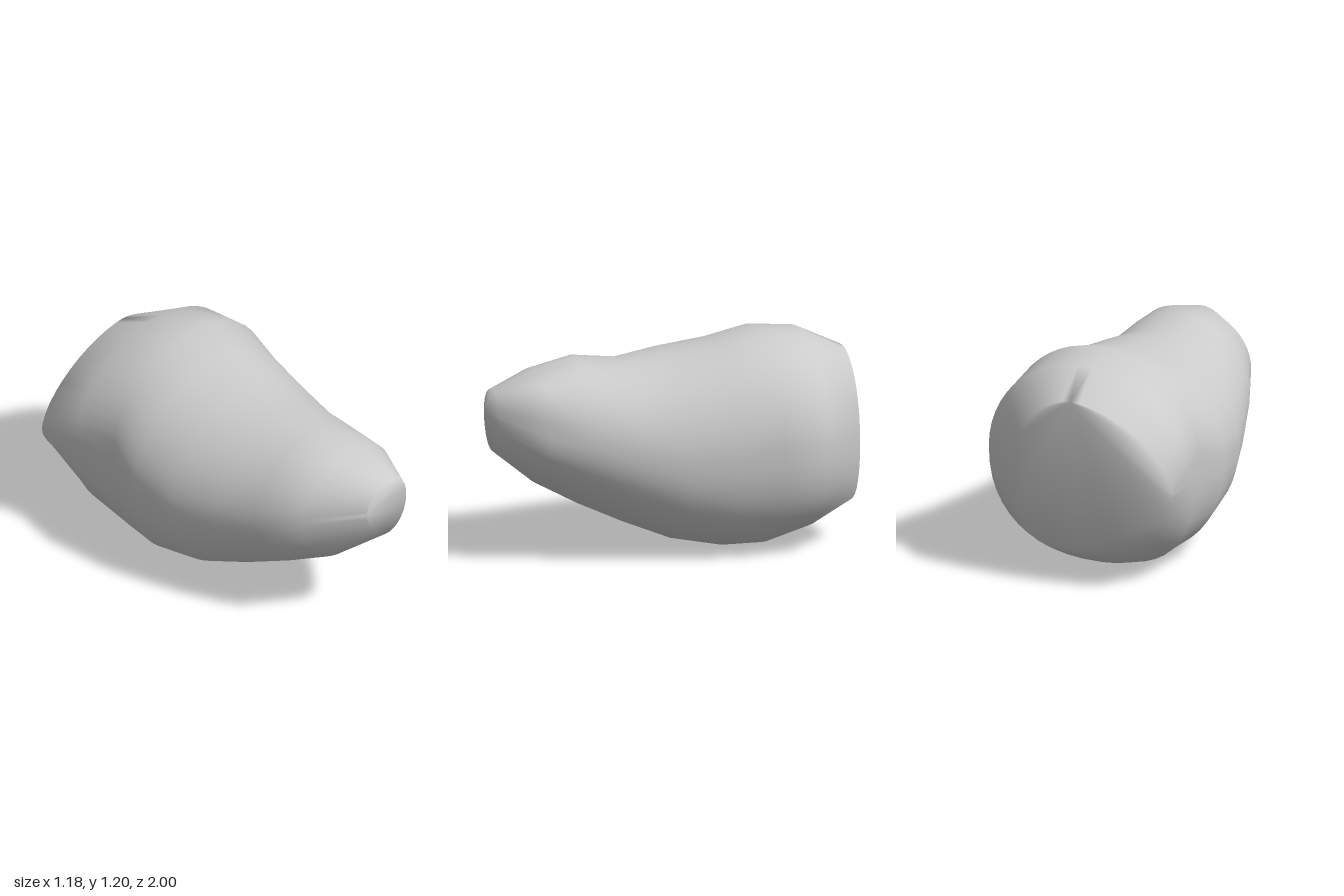
import * as THREE from 'three';

// Cross-sections from back to front:
// z, left edge, right edge, bottom, top, x of topmost point, x of lowest point, y of widest point,
// then roundness (2 = ellipse, more = squarer) of upper right, upper left, lower left, lower right
const SECTIONS = [
  [-1.0, -0.595, 0.34, 0.21, 1.045, 0.0, 0.08, 0.6, 2, 1.65, 1.65, 2.3],
  [-0.75, -0.58, 0.585, 0.07, 1.17, 0.06, -0.08, 0.65, 2, 1.95, 2.3, 2.3],
  [-0.5, -0.535, 0.59, 0.0, 1.2, 0.08, -0.05, 0.67, 2, 2, 2.7, 2.35],
  [-0.28, -0.595, 0.56, 0.0, 1.145, 0.05, -0.05, 0.6, 2, 1.9, 2.3, 2.3],
  [0.0, -0.56, 0.51, 0.055, 1.11, 0.03, -0.05, 0.58, 2, 1.9, 2.2, 2.2],
  [0.25, -0.49, 0.46, 0.16, 1.065, 0.02, -0.04, 0.62, 2, 1.9, 2.1, 2.1],
  [0.5, -0.41, 0.4, 0.28, 1.095, 0.0, -0.02, 0.68, 2.1, 1.9, 2, 2],
  [0.75, -0.31, 0.34, 0.42, 1.045, 0.03, 0.0, 0.74, 3, 2, 2, 2],
  [1.0, -0.06, 0.23, 0.63, 0.97, 0.09, 0.09, 0.82, 2.4, 2, 2, 2],
];
const SIDES = 48;

// One point of a section, built from four quarter superellipses and starting at the top
function sectionPoint([z, left, right, bottom, top, topX, bottomX, midY, ...roundness], j) {
  const a = Math.PI / 2 + (j / SIDES) * Math.PI * 2;
  const c = Math.cos(a), s = Math.sin(a);
  const power = 2 / roundness[s >= 0 ? (c >= 0 ? 0 : 1) : (c < 0 ? 2 : 3)];
  const u = Math.abs(c) ** power, v = Math.abs(s) ** power;
  const midX = s >= 0 ? topX : bottomX;
  const x = midX + u * ((c >= 0 ? right : left) - midX);
  const y = midY + v * ((s >= 0 ? top : bottom) - midY);
  return [x, y, z];
}

export function createModel() {
  const positions = [], index = [];
  for (const section of SECTIONS) {
    for (let j = 0; j < SIDES; j++) positions.push(...sectionPoint(section, j));
  }

  // Skin between neighbouring sections
  const last = SECTIONS.length - 1;
  for (let i = 0; i < last; i++) {
    for (let j = 0; j < SIDES; j++) {
      const k = (j + 1) % SIDES;
      const a = i * SIDES + j, b = i * SIDES + k;
      index.push(a, b, b + SIDES, a, b + SIDES, a + SIDES);
    }
  }

  // End caps: the back fans out from its topmost point, the tip from its side
  const front = last * SIDES, tip = SIDES / 4;
  for (let j = 1; j < SIDES - 1; j++) {
    index.push(0, j + 1, j);
    index.push(front + tip, front + (tip + j) % SIDES, front + (tip + j + 1) % SIDES);
  }

  const geometry = new THREE.BufferGeometry();
  geometry.setAttribute('position', new THREE.Float32BufferAttribute(positions, 3));
  geometry.setIndex(index);
  geometry.computeVertexNormals();

  const body = new THREE.Mesh(geometry, new THREE.MeshStandardMaterial({ color: 0xcccccc }));
  body.name = 'body';
  const group = new THREE.Group();
  group.name = 'taperedBody';
  group.add(body);
  return group;
}
